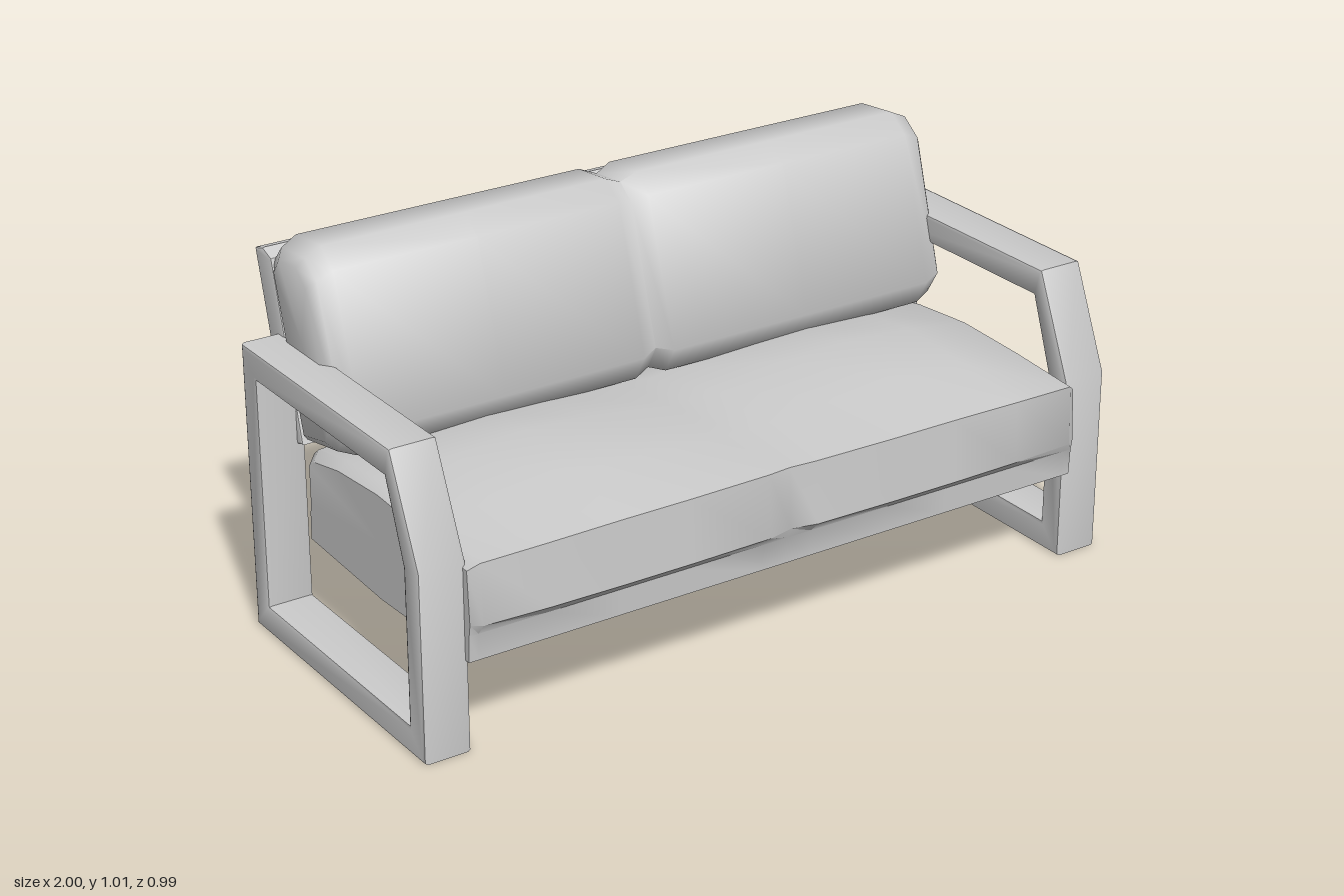
import * as THREE from 'three';
import { toCreasedNormals } from 'three/addons/utils/BufferGeometryUtils.js';

const material = new THREE.MeshStandardMaterial({ color: 0xcccccc });

function addMesh(parent, name, geometry, crease) {
  const mesh = new THREE.Mesh(toCreasedNormals(geometry, crease), material);
  mesh.name = name;
  parent.add(mesh);
  return mesh;
}

// Extrudes a side profile of [z, y] points across x, from x0 to x1, with a small edge bevel.
function extrudeProfile(outer, hole, x0, x1, bevel) {
  const toPoints = (list) => list.map(([z, y]) => new THREE.Vector2(z, y));
  const shape = new THREE.Shape(toPoints(outer));
  if (hole) shape.holes.push(new THREE.Path(toPoints(hole)));
  const geometry = new THREE.ExtrudeGeometry(shape, {
    depth: x1 - x0 - 2 * bevel,
    bevelThickness: bevel, bevelSize: bevel, bevelOffset: -bevel, bevelSegments: 2,
  });
  return geometry.rotateY(-Math.PI / 2).translate(x1 - bevel, 0, 0);
}

// Joins cross-sections { x, ring: [[z, y], ...] } along x and caps both ends.
function loft(sections) {
  const n = sections[0].ring.length;
  const positions = [];
  const index = [];
  for (const { x, ring } of sections) for (const [z, y] of ring) positions.push(x, y, z);
  for (let i = 0; i < sections.length - 1; i++) {
    for (let j = 0; j < n; j++) {
      const a = i * n + j, b = i * n + (j + 1) % n;
      index.push(a, a + n, b, a + n, b + n, b);
    }
  }
  for (const end of [0, sections.length - 1]) {
    const { x, ring } = sections[end];
    const center = positions.length / 3;
    const mean = (k) => ring.reduce((sum, p) => sum + p[k], 0) / n;
    positions.push(x, mean(1), mean(0));
    for (let j = 0; j < n; j++) {
      const a = end * n + j, b = end * n + (j + 1) % n;
      if (end === 0) index.push(center, a, b);
      else index.push(center, b, a);
    }
  }
  const geometry = new THREE.BufferGeometry();
  geometry.setAttribute('position', new THREE.Float32BufferAttribute(positions, 3));
  geometry.setIndex(index);
  return geometry;
}

// Repeats the right-hand sections (listed from the centre outwards) on the other side.
function mirrored(half, makeRing) {
  const left = half.slice(1).reverse().map(([x, ...rest]) => [-x, ...rest]);
  return [...left, ...half].map(([x, ...rest]) => ({ x, ring: makeRing(...rest) }));
}

export function createModel() {
  const sofa = new THREE.Group();
  sofa.name = 'sofa';

  // Closed-loop arm frames with a sloping front corner
  const armOuter = [[0.44, 0], [0.44, 0.49], [0.325, 0.755], [-0.39, 0.755], [-0.39, 0]];
  const armHole = [[0.37, 0.075], [0.37, 0.48], [0.298, 0.68], [-0.32, 0.68], [-0.32, 0.075]];
  for (const [name, x0] of [['leftArmFrame', 0.875], ['rightArmFrame', -1]]) {
    addMesh(sofa, name, extrudeProfile(armOuter, armHole, x0, x0 + 0.125, 0.01), 0.6);
  }

  // Seat: crowned cushion on a narrower base; each section is [x, crown height, top edge drop, inset]
  const seatRing = (crown, drop, inset) => [
    [0.487 - inset, 0.505 - drop],
    [0.27 - inset / 2, (crown + 0.507 - drop) / 2 + 0.002],
    [0.05, crown],
    [-0.14, (crown + 0.497 - drop) / 2 + 0.002],
    [-0.295 + inset, 0.49 - drop],
    [-0.32 + inset, 0.47 - drop],
    [-0.32 + inset, 0.34],
    [-0.295, 0.31],
    [-0.297, 0.24],
    [0.05, 0.225],
    [0.456, 0.24],
    [0.46, 0.31],
    [0.495 - inset, 0.34],
  ];
  const seatSections = [
    [0, 0.515, 0.006, 0.02],
    [0.07, 0.525, 0, 0.004],
    [0.3, 0.55, 0, 0],
    [0.48, 0.562, 0, 0],
    [0.68, 0.545, 0.004, 0.003],
    [0.86, 0.52, 0.01, 0.012],
    [0.885, 0.5, 0.03, 0.03],
  ];
  addMesh(sofa, 'seatCushion', loft(mirrored(seatSections, seatRing)), 0.75);

  // Back cushion: leaning profile with rounded ends and a dip at the centre seam
  const backProfile = [
    [-0.13, 0.52], [-0.088, 0.59], [-0.2, 0.967], [-0.26, 1.012],
    [-0.385, 1.0], [-0.428, 0.95], [-0.29, 0.49],
  ];
  const backRing = (scaleZ, scaleY) =>
    backProfile.map(([z, y]) => {
      const lean = -0.255 - (y - 0.75) * 0.28;
      const newY = 0.75 + (y - 0.75) * scaleY;
      return [-0.255 - (newY - 0.75) * 0.28 + (z - lean) * scaleZ, newY];
    });
  const backSections = [
    [0, 0.87, 0.93],
    [0.045, 0.99, 1],
    [0.45, 1, 1],
    [0.84, 1, 1],
    [0.885, 0.93, 0.92],
    [0.905, 0.7, 0.83],
  ];
  addMesh(sofa, 'backCushion', loft(mirrored(backSections, backRing)), 1.0);

  // Flat leaning panel behind the back cushion
  const panel = [[-0.293, 0.497], [-0.37, 0.477], [-0.492, 0.945], [-0.452, 0.957], [-0.41, 0.942]];
  addMesh(sofa, 'backPanel', extrudeProfile(panel, null, -0.898, 0.898, 0.006), 0.5);

  return sofa;
}
